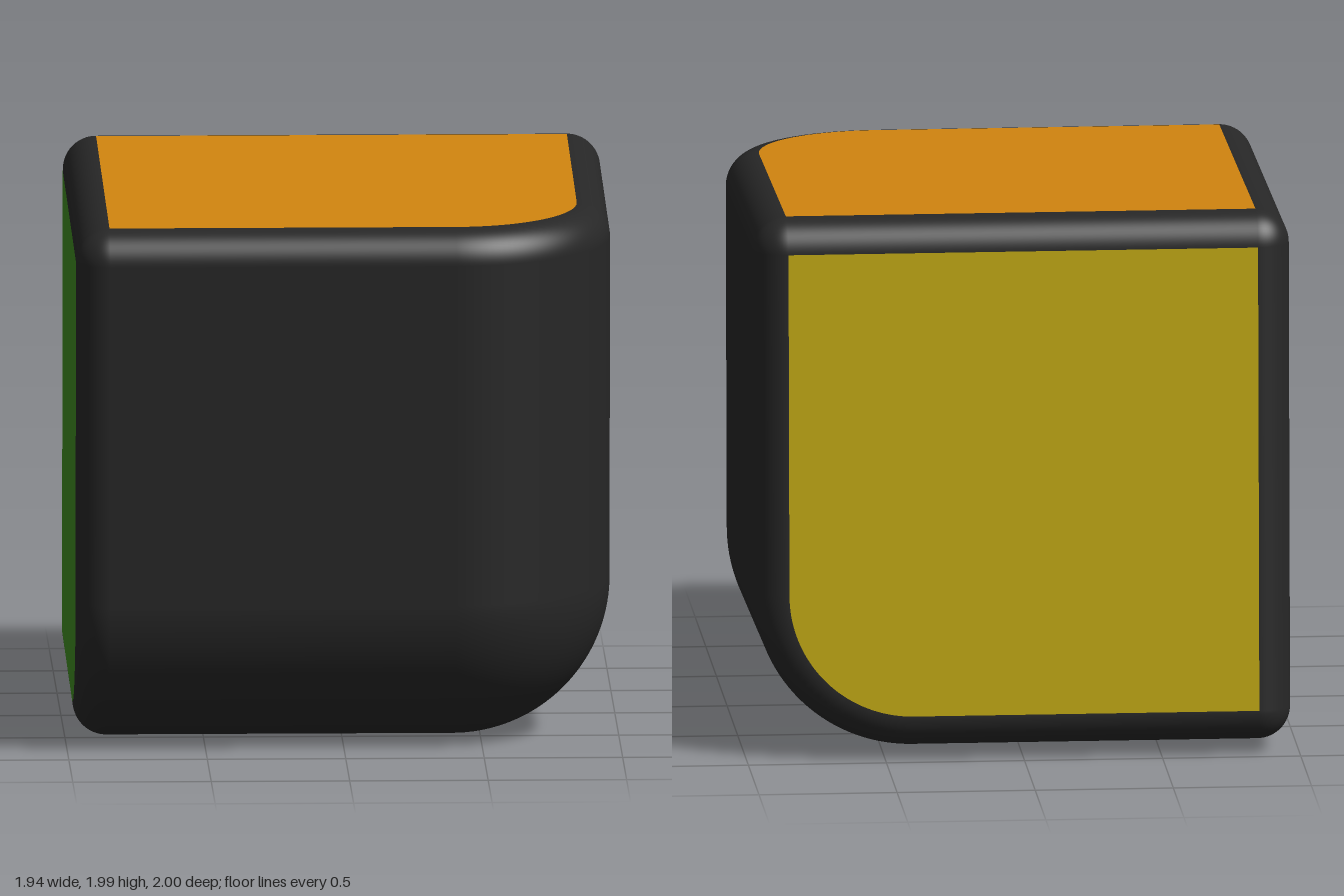
import * as THREE from 'three';

const HALF = 0.97;          // half size of the block
const EDGE = 0.12;          // small edge radius
const FLAT = HALF - EDGE;   // half size of the flat faces
const BIG = 0.45;           // rounding of the inner corner, before the edge radius
const START = FLAT - BIG;   // where the big rounding starts
const TILT = 0.036;

// Grid stops along one axis, dense only where the surface curves
function gridStops() {
  const stops = [], n = 8, m = 18;
  const ease = (j) => Math.tan((j / n) * Math.PI / 4);
  for (let j = n; j >= 0; j--) stops.push(-FLAT - EDGE * ease(j));
  for (let j = 0; j < m; j++) stops.push(START + (BIG * j) / m);
  for (let j = 0; j <= n; j++) stops.push(FLAT + EDGE * ease(j));
  return stops;
}

// Closest point of the sharp-edged core whose positive corner is rounded
function closestOnCore(q) {
  const over = q.map((c) => Math.max(c - START, 0));
  const scale = Math.min(1, BIG / Math.max(Math.hypot(...over), 1e-6));
  return q.map((c, i) => (c > START ? START + over[i] * scale : Math.max(c, -FLAT)));
}

// Cube grid pushed onto the core offset by the edge radius
function blockGeometry() {
  const stops = gridStops(), n = stops.length;
  const pos = [], nor = [], idx = [];
  for (let axis = 0; axis < 3; axis++) {
    for (const side of [-1, 1]) {
      const base = pos.length / 3;
      for (let a = 0; a < n; a++) {
        for (let b = 0; b < n; b++) {
          const q = [0, 0, 0];
          q[axis] = side * HALF;
          q[(axis + 1) % 3] = stops[a];
          q[(axis + 2) % 3] = stops[b];
          const k = closestOnCore(q);
          const d = new THREE.Vector3(q[0] - k[0], q[1] - k[1], q[2] - k[2]).normalize();
          // y is mirrored so the big rounding faces down
          pos.push(k[0] + EDGE * d.x, -(k[1] + EDGE * d.y), k[2] + EDGE * d.z);
          nor.push(d.x, -d.y, d.z);
          if (a < n - 1 && b < n - 1) {
            const p = base + a * n + b;
            if (side < 0) idx.push(p, p + n, p + n + 1, p, p + n + 1, p + 1);
            else idx.push(p, p + n + 1, p + n, p, p + 1, p + n + 1);
          }
        }
      }
    }
  }
  const geo = new THREE.BufferGeometry();
  geo.setAttribute('position', new THREE.Float32BufferAttribute(pos, 3));
  geo.setAttribute('normal', new THREE.Float32BufferAttribute(nor, 3));
  geo.setIndex(idx);
  return geo;
}

// Square panel with one rounded corner at (+x, -y)
function panelGeometry() {
  const s = new THREE.Shape();
  s.moveTo(-FLAT, -FLAT);
  s.lineTo(START, -FLAT);
  s.absarc(START, -START, BIG, -Math.PI / 2, 0, false);
  s.lineTo(FLAT, FLAT);
  s.lineTo(-FLAT, FLAT);
  s.closePath();
  return new THREE.ShapeGeometry(s, 24);
}

export function createModel() {
  const model = new THREE.Group();
  model.name = 'cornerBlock';
  const tilted = new THREE.Group();
  tilted.name = 'tiltedBlock';
  tilted.rotation.x = TILT;
  tilted.position.y = START * (Math.cos(TILT) + Math.sin(TILT)) + BIG + EDGE;
  model.add(tilted);

  const body = new THREE.Mesh(blockGeometry(), new THREE.MeshStandardMaterial({ color: 0x272727 }));
  body.name = 'body';
  tilted.add(body);

  // Coloured panels on the three sharp-edged faces: panel x, y and outward axes
  const V = (x, y, z) => new THREE.Vector3(x, y, z);
  const panel = panelGeometry();
  const faces = [
    ['topPanel', 0xd2850f, V(1, 0, 0), V(0, 0, -1), V(0, 1, 0)],
    ['backPanel', 0xc2aa0e, V(0, -1, 0), V(-1, 0, 0), V(0, 0, -1)],
    ['rightPanel', 0x3f8c21, V(0, 0, 1), V(0, 1, 0), V(-1, 0, 0)],
  ];
  for (const [name, color, px, py, out] of faces) {
    const mesh = new THREE.Mesh(panel, new THREE.MeshStandardMaterial({ color }));
    mesh.name = name;
    mesh.quaternion.setFromRotationMatrix(new THREE.Matrix4().makeBasis(px, py, out));
    mesh.position.copy(out).multiplyScalar(HALF + 0.001);
    tilted.add(mesh);
  }
  return model;
}
